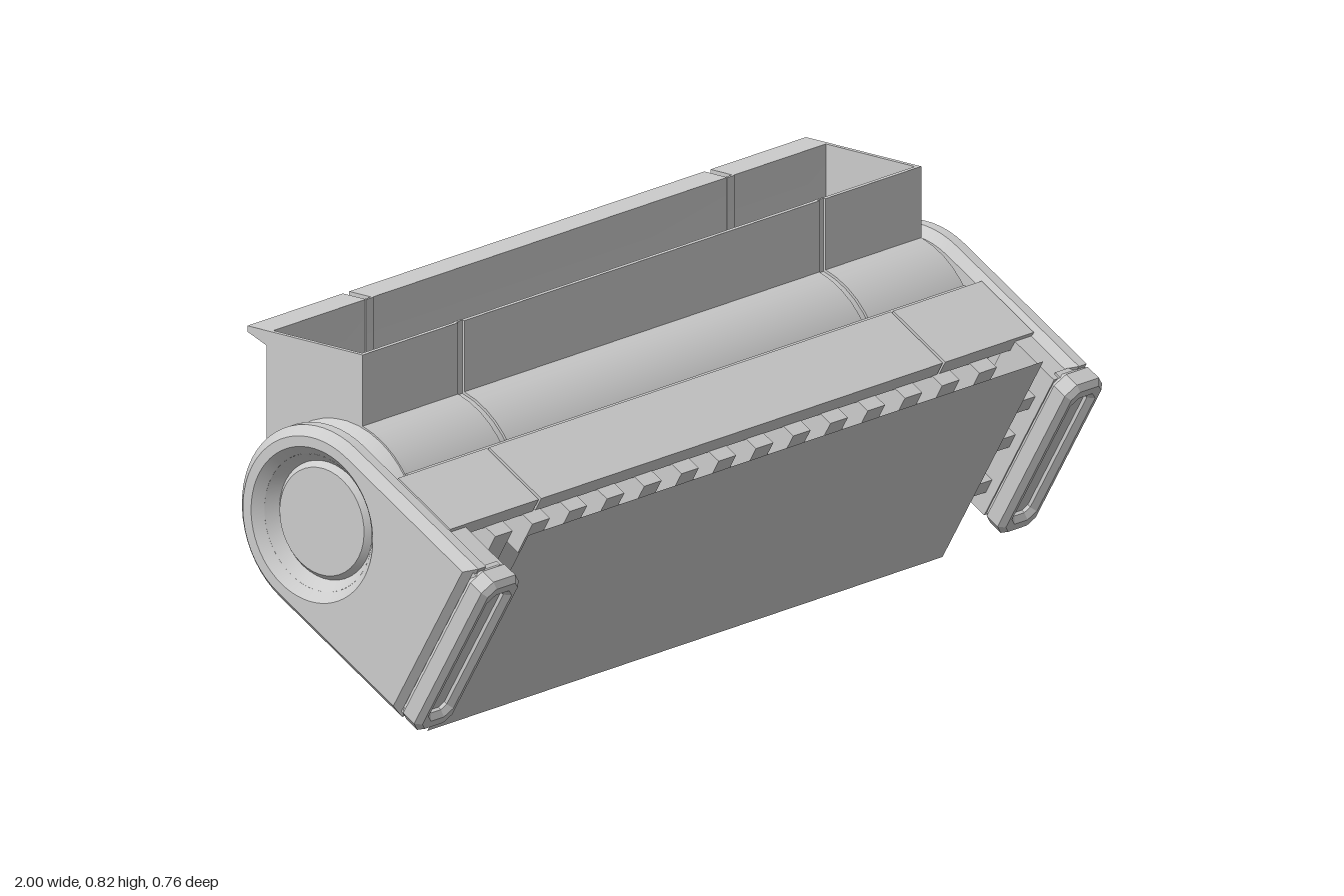
import * as THREE from 'three';
import { toCreasedNormals } from 'three/addons/utils/BufferGeometryUtils.js';

const grey = new THREE.MeshStandardMaterial({ color: 0xcccccc, side: THREE.DoubleSide });

function add(parent, geo, name) {
  const mesh = new THREE.Mesh(geo, grey);
  mesh.name = name;
  parent.add(mesh);
  return mesh;
}

// box given by its limits on each axis
function box(parent, name, x0, x1, y0, y1, z0, z1) {
  const geo = new THREE.BoxGeometry(x1 - x0, y1 - y0, z1 - z0);
  geo.translate((x0 + x1) / 2, (y0 + y1) / 2, (z0 + z1) / 2);
  return add(parent, geo, name);
}

// extrude a (z, y) profile along x, optionally chamfered
function extrudeX(shape, x0, x1, bevel = 0) {
  const geo = new THREE.ExtrudeGeometry(shape, {
    depth: x1 - x0 - 2 * bevel, curveSegments: 32, bevelEnabled: bevel > 0,
    bevelSize: bevel, bevelThickness: bevel, bevelOffset: -bevel, bevelSegments: 1,
  });
  geo.rotateY(-Math.PI / 2);
  geo.translate(x1 - bevel, 0, 0);
  return toCreasedNormals(geo, 0.5);
}

function arc(r, a0, a1, n = 28) {
  return Array.from({ length: n + 1 }, (_, i) => {
    const a = a0 + (a1 - a0) * i / n;
    return new THREE.Vector2(r * Math.cos(a), r * Math.sin(a));
  });
}

// U-shaped trough outline around the drum axis, as (z, y) points
function troughLine(r, front, back, top) {
  return [new THREE.Vector2(front, top),
    ...arc(r, Math.acos(front / r), -Math.PI), new THREE.Vector2(back, top)];
}

function octagon(hx, hy, c) {
  return [[-hx + c, -hy], [hx - c, -hy], [hx, -hy + c], [hx, hy - c],
    [hx - c, hy], [-hx + c, hy], [-hx, hy - c], [-hx, -hy + c]]
    .map(([x, y]) => new THREE.Vector2(x, y));
}

function buildHopper() {
  const g = new THREE.Group();
  g.name = 'hopper';
  const top = 0.363;
  const outer = troughLine(0.213, 0.055, -0.213, top);
  const inner = troughLine(0.203, 0.045, -0.203, top).reverse();
  const lip = [[-0.213, 0.33], [-0.267, 0.35], [-0.267, top]].map(p => new THREE.Vector2(...p));
  const shell = new THREE.Shape([...outer.slice(0, -1), ...lip, ...inner]);
  for (const [a, b] of [[-0.9, -0.592], [-0.572, 0.572], [0.592, 0.9]])
    add(g, extrudeX(shell, a, b), 'troughShell');
  // recessed bands in the gaps between the shells
  const band = new THREE.Shape([...troughLine(0.207, 0.049, -0.207, top),
    ...troughLine(0.201, 0.043, -0.201, top).reverse()]);
  for (const s of [-1, 1]) {
    add(g, extrudeX(band, s * 0.582 - 0.012, s * 0.582 + 0.012), 'seamBand');
    add(g, extrudeX(new THREE.Shape(outer), s * 0.895 - 0.005, s * 0.895 + 0.005), 'endWall');
  }
  return g;
}

// one side arm, built on +x
function buildArm() {
  const g = new THREE.Group();
  const outline = new THREE.Shape([...arc(0.213, Math.PI / 2, Math.PI * 1.5),
    new THREE.Vector2(0.394, -0.213), new THREE.Vector2(0.394, 0.213)]);
  const hole = new THREE.Path();
  hole.absarc(0, 0, 0.15, 0, Math.PI * 2, true);
  outline.holes.push(hole);
  add(g, extrudeX(outline, 0.935, 1, 0.02), 'sidePlate');

  // dished hub inside the round hole
  const hub = new THREE.LatheGeometry([[0, 0.968], [0.118, 0.968], [0.13, 0.955], [0.15, 0.98]]
    .map(p => new THREE.Vector2(...p)), 40);
  hub.rotateZ(-Math.PI / 2);
  add(g, toCreasedNormals(hub, 0.4), 'hub');

  // collar from the drum to the plate
  const collar = new THREE.CylinderGeometry(0.17, 0.21, 0.04, 40);
  collar.rotateZ(-Math.PI / 2);
  collar.translate(0.919, 0, 0);
  add(g, toCreasedNormals(collar, 0.4), 'collar');

  // thicker front of the arm
  box(g, 'armBlock', 0.885, 0.95, -0.195, 0.195, 0.25, 0.394);
  box(g, 'grooveCore', 0.9, 0.985, -0.2, 0.2, 0.38, 0.41);

  // chamfered end cap with a sunken slot
  const cap = new THREE.Shape(octagon(0.06, 0.213, 0.025));
  cap.holes.push(new THREE.Path(octagon(0.028, 0.17, 0.012).reverse()));
  const capGeo = new THREE.ExtrudeGeometry(cap, { depth: 0.035, bevelEnabled: true,
    bevelSize: 0.012, bevelThickness: 0.012, bevelOffset: -0.012, bevelSegments: 1 });
  capGeo.translate(0.94, 0, 0.403);
  add(g, capGeo, 'endCap');
  box(g, 'slotFloor', 0.9, 0.98, -0.185, 0.185, 0.405, 0.43);

  // brackets reaching in to the front panel
  for (const n of [-0.13, 0, 0.11])
    box(g, 'panelBracket', 0.8, 0.89, n - 0.018, n + 0.018, 0.3, 0.372);
  return g;
}

function buildBody() {
  const g = new THREE.Group();
  g.name = 'body';
  // upper and lower beams in three lengths, with a core behind the joints
  for (const s of [-1, 1]) {
    const lo = s > 0 ? 0.17 : -0.205, hi = s > 0 ? 0.205 : -0.17;
    for (const [a, b] of [[-0.94, -0.655], [-0.647, 0.647], [0.655, 0.94]])
      box(g, s > 0 ? 'upperBeam' : 'lowerBeam', a, b, lo, hi, 0.1, 0.268);
    box(g, 'beamCore', -0.9, 0.9, lo + (s < 0 ? 0.008 : 0), hi - (s > 0 ? 0.008 : 0), 0.09, 0.26);
    box(g, 'bodySide', s * 0.92 - 0.018, s * 0.92 + 0.018, -0.2, 0.2, 0.1, 0.268);
  }
  box(g, 'backWall', -0.92, 0.92, -0.19, 0.19, 0.2, 0.22);

  // row of guide teeth under the upper beam
  for (let i = 0; i < 14; i++) {
    const x = (i - 6.5) * 0.12;
    box(g, 'guideTooth', x - 0.028, x + 0.028, 0.09, 0.172, 0.21, 0.3);
  }

  // thin front panel
  const panel = new THREE.PlaneGeometry(1.66, 0.564);
  panel.translate(0, -0.028, 0.381);
  add(g, panel, 'frontPanel');
  return g;
}

export function createModel() {
  const model = new THREE.Group();
  model.name = 'troughUnit';
  const axis = new THREE.Group();
  axis.name = 'drumAxis';
  axis.position.set(0, 0.46, -0.115);
  model.add(axis);
  axis.add(buildHopper());

  // arms and body tilt down toward the front
  const tilted = new THREE.Group();
  tilted.name = 'tiltedFrame';
  tilted.rotation.x = Math.PI / 6;
  axis.add(tilted);
  tilted.add(buildBody());
  const left = buildArm();
  left.name = 'leftArm';
  const right = buildArm();
  right.name = 'rightArm';
  right.scale.x = -1;
  tilted.add(left, right);
  return model;
}
